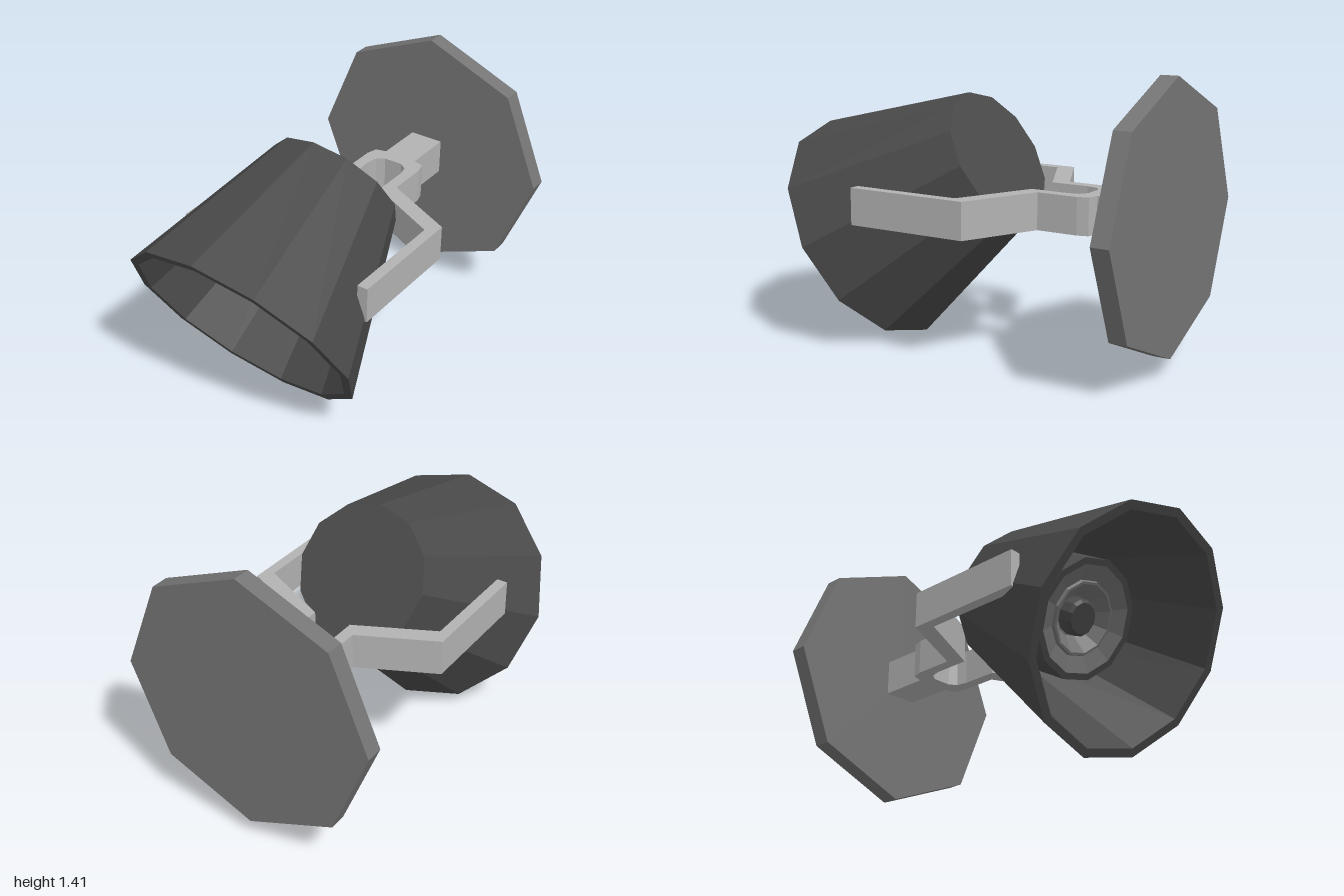
import * as THREE from 'three';

const mat = (name, color) => {
  const m = new THREE.MeshStandardMaterial({ color });
  m.name = name;
  return m;
};

// Faceted mesh: every face gets its own flat normal
function part(name, geometry, material) {
  const flat = geometry.index ? geometry.toNonIndexed() : geometry;
  flat.computeVertexNormals();
  const mesh = new THREE.Mesh(flat, material);
  mesh.name = name;
  return mesh;
}

const lathe = (profile) =>
  new THREE.LatheGeometry(profile.map(([r, y]) => new THREE.Vector2(r, y)), 12);

export function createModel() {
  const darkGrey = mat('dark grey', 0x4a4a4a);
  const midGrey = mat('mid grey', 0x757575);
  const lightGrey = mat('light grey', 0xb2b2b2);

  const model = new THREE.Group();
  model.name = 'wallSpotlight';

  // Octagonal wall plate, one corner up
  const plate = new THREE.CylinderGeometry(0.662, 0.662, 0.09, 8);
  plate.rotateX(Math.PI / 2).translate(0, 0.753, -0.955);
  model.add(part('wallPlate', plate, midGrey));

  // Forked bracket: half outline in plan (x, z), mirrored
  const half = [
    [0.09, -0.92], [0.09, -0.65], [0.145, -0.635], [0.16, -0.58], [0.16, -0.37],
    [0.54, -0.19], [0.54, 0.445], [0.485, 0.445], [0.485, -0.12], [0.1, -0.305],
    [0.1, -0.5], [0.088, -0.555], [0.05, -0.582],
  ];
  const mirrored = half.map(([x, z]) => [-x, z]).reverse();
  const outline = [...half, ...mirrored].map(([x, z]) => new THREE.Vector2(x, z));
  const fork = new THREE.ExtrudeGeometry(new THREE.Shape(outline), { depth: 0.183, bevelEnabled: false });
  fork.rotateX(Math.PI / 2).translate(0, 0.847, 0);
  model.add(part('forkBracket', fork, lightGrey));

  // Lamp head: local +y points out of the mouth, tipped 30 degrees down
  const head = new THREE.Group();
  head.name = 'lampHead';
  head.position.set(0, 0.535, 0.695);
  head.rotation.x = THREE.MathUtils.degToRad(120);
  model.add(head);

  // Hollow conical shade with a thick rim
  head.add(part('shade', lathe([
    [0, -0.872], [0.35, -0.872], [0.615, 0], [0.57, 0], [0.315, -0.84], [0, -0.84],
  ]), darkGrey));

  // Lamp housing inside the shade
  head.add(part('bulbHousing', lathe([
    [0.305, -0.84], [0.305, -0.31], [0.272, -0.31], [0.272, -0.32],
  ]), darkGrey));

  // Stepped reflector bowl
  head.add(part('reflector', lathe([
    [0.272, -0.312], [0.262, -0.316], [0.19, -0.345], [0.184, -0.33],
    [0.172, -0.33], [0.1, -0.41], [0, -0.42],
  ]), midGrey));

  // Small central emitter
  head.add(part('emitter', lathe([
    [0.092, -0.42], [0.092, -0.35], [0.078, -0.335], [0, -0.335],
  ]), darkGrey));

  return model;
}
